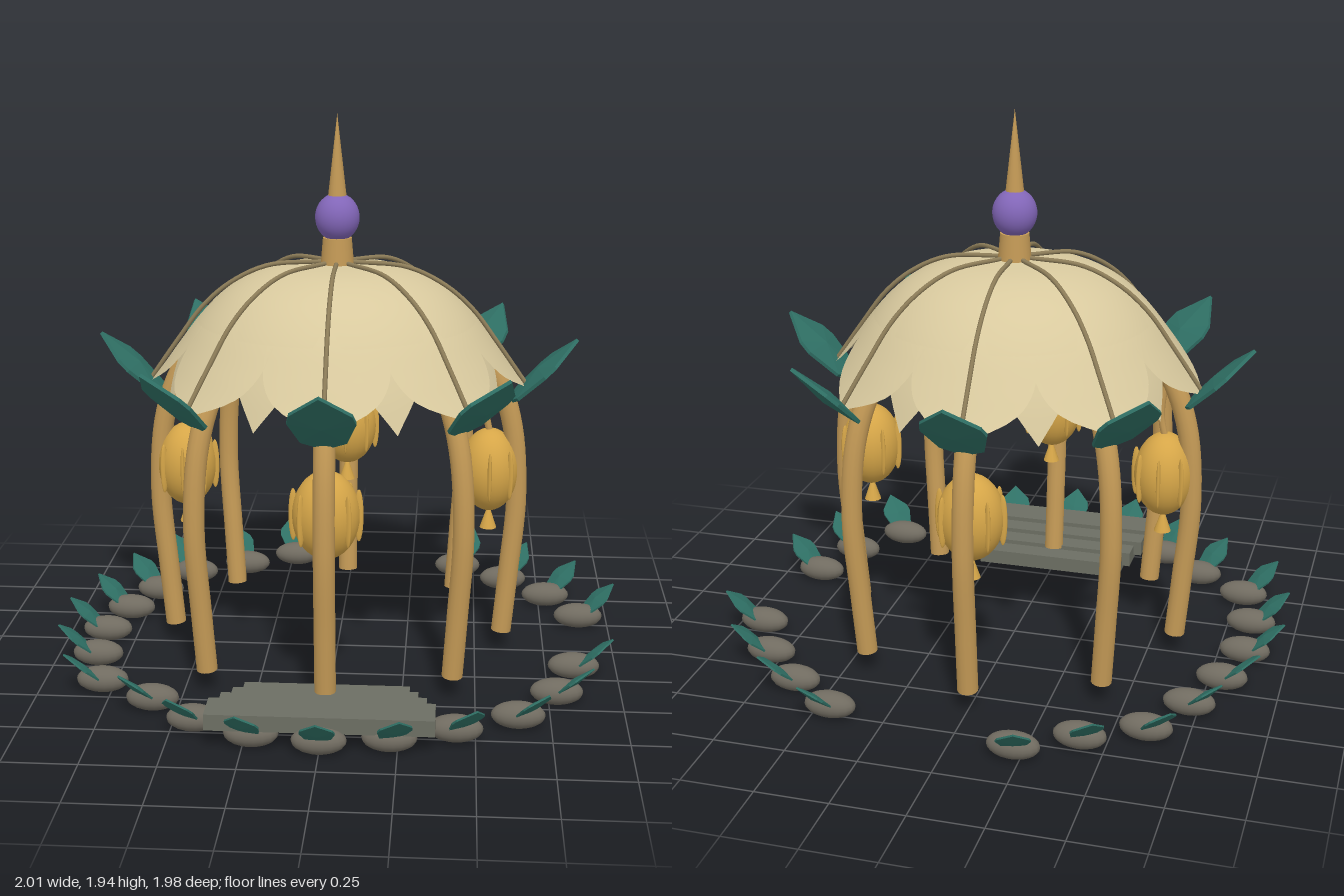
import * as THREE from 'three';
import { ParametricGeometry } from 'three/addons/geometries/ParametricGeometry.js';
import { ConvexGeometry } from 'three/addons/geometries/ConvexGeometry.js';

const V = (x, y, z) => new THREE.Vector3(x, y, z);
const paint = (name, color, extra = {}) =>
  Object.assign(new THREE.MeshStandardMaterial({ color, ...extra }), { name });

export function createModel() {
  const wood = paint('honey wood', 0xc49a56);
  const gold = paint('lantern gold', 0xd6a648);
  const cream = paint('canopy cream', 0xd8c99e, { side: THREE.DoubleSide });
  const vein = paint('canopy vein', 0x8c7c58);
  const teal = paint('leaf teal', 0x2f7065, { flatShading: true });
  const rock = paint('stone grey', 0x706b60);
  const slab = paint('step grey', 0x6c6e63);
  const purple = paint('orb purple', 0x8266b8);

  const model = new THREE.Group();
  model.name = 'gardenPavilion';

  const add = (parent, name, geometry, material, x = 0, y = 0, z = 0) => {
    const mesh = new THREE.Mesh(geometry, material);
    mesh.name = name;
    mesh.position.set(x, y, z);
    parent.add(mesh);
    return mesh;
  };
  // Repeats a part around the centre; its own +z points outward
  const ring = (name, count, start, build) => {
    for (let i = 0; i < count; i++) {
      const g = new THREE.Group();
      g.name = name;
      g.rotation.y = start + (i / count) * Math.PI * 2;
      build(g);
      model.add(g);
    }
  };
  const path = (pts) => new THREE.CatmullRomCurve3(pts.map(([r, y]) => V(0, y, r)));

  // Curved posts meeting under the hub
  const postGeo = new THREE.TubeGeometry(path([
    [0.595, 0.08], [0.615, 0.3], [0.638, 0.6], [0.615, 0.87],
    [0.55, 1.05], [0.42, 1.22], [0.24, 1.325], [0.03, 1.36],
  ]), 40, 0.036, 14);
  const capGeo = new THREE.CircleGeometry(0.036, 14).rotateX(Math.PI / 2);
  ring('post', 8, 0, (g) => {
    add(g, 'postShaft', postGeo, wood);
    add(g, 'postFoot', capGeo, wood, 0, 0.081, 0.595);
  });

  // Petals: each row is [half width, height, radius]
  const petal = (rows) => {
    const spine = new THREE.CatmullRomCurve3(rows.map((p) => V(...p)));
    const geo = new ParametricGeometry((u, v, out) => {
      const p = spine.getPoint(v);
      const a = ((u * 2 - 1) * Math.max(p.x, 0.001)) / p.z;
      out.set(Math.sin(a) * p.z, p.y, Math.cos(a) * p.z);
    }, 16, 24);
    geo.computeVertexNormals();
    return geo;
  };
  const lowerPetal = petal([
    [0.025, 1.415, 0.04], [0.13, 1.395, 0.24], [0.17, 1.335, 0.37],
    [0.2, 1.25, 0.47], [0.21, 1.14, 0.555], [0.17, 1.07, 0.605], [0, 0.99, 0.665],
  ]);
  const upperPetal = petal([
    [0.03, 1.425, 0.04], [0.14, 1.41, 0.2], [0.17, 1.375, 0.31],
    [0.165, 1.32, 0.4], [0.14, 1.22, 0.495], [0.09, 1.1, 0.56], [0, 0.97, 0.61],
  ]);
  ring('lowerPetal', 8, 0, (g) => add(g, 'petal', lowerPetal, cream));
  ring('upperPetal', 8, Math.PI / 8, (g) => add(g, 'petal', upperPetal, cream));

  // Raised veins on the canopy
  const veinGeo = new THREE.TubeGeometry(path([
    [0.05, 1.43], [0.24, 1.415], [0.37, 1.355], [0.47, 1.27], [0.56, 1.15], [0.665, 1.0],
  ]), 28, 0.008, 8);
  ring('canopyVein', 8, 0, (g) => add(g, 'vein', veinGeo, vein));

  // Faceted leaf, base at the origin and tip up
  const leafGeo = (s) => {
    const outline = [[0, 0], [0.075, 0.045], [0.11, 0.17], [0.1, 0.22], [0, 0.33]];
    const pts = [V(0, 0.16 * s, 0.022 * s), V(0, 0.16 * s, -0.022 * s)];
    for (const [x, y] of outline)
      for (const side of [-1, 1])
        for (const d of [-0.006, 0.006]) pts.push(V(x * s * side, y * s, d * s));
    return new ConvexGeometry(pts);
  };
  const bigLeaf = leafGeo(1);
  const smallLeaf = leafGeo(0.52);
  ring('canopyLeaf', 8, 0, (g) => {
    add(g, 'leaf', bigLeaf, teal, 0, 0.935, 0.6).rotation.x = 0.8;
  });

  // Hanging lanterns on the four main axes
  const bodyGeo = new THREE.SphereGeometry(1, 28, 20).scale(0.112, 0.15, 0.104);
  const ribGeo = new THREE.SphereGeometry(1, 10, 12).scale(0.008, 0.09, 0.016);
  const tailGeo = new THREE.CylinderGeometry(0.008, 0.03, 0.065, 12);
  const cordGeo = new THREE.TubeGeometry(path([
    [0.54, 0.82], [0.525, 0.9], [0.53, 0.98], [0.55, 1.06],
  ]), 14, 0.012, 8);
  ring('lantern', 4, 0, (g) => {
    add(g, 'lanternBody', bodyGeo, gold, 0, 0.69, 0.54);
    add(g, 'lanternTail', tailGeo, gold, 0, 0.505, 0.54);
    add(g, 'lanternCord', cordGeo, wood);
    for (let i = 0; i < 8; i++) {
      const a = (i * Math.PI) / 4;
      add(g, 'lanternRib', ribGeo, gold,
        Math.sin(a) * 0.108, 0.69, 0.54 + Math.cos(a) * 0.1).rotation.y = a;
    }
  });

  // Finial
  add(model, 'hub', new THREE.CylinderGeometry(0.05, 0.06, 0.12, 24), wood, 0, 1.455, 0);
  add(model, 'orb', new THREE.SphereGeometry(0.077, 28, 20).scale(1, 1.08, 1), purple, 0, 1.585, 0);
  add(model, 'spire', new THREE.ConeGeometry(0.034, 0.3, 16), wood, 0, 1.79, 0);

  // Stone border with sprouting leaves: one radius per 15 degrees, 0 leaves a gap
  const stoneGeo = new THREE.SphereGeometry(1, 18, 12).scale(0.09, 0.045, 0.05);
  const radii = [0, 0.875, 0.895, 0.905, 0.87, 0.865, 0.87, 0.86, 0.845, 0.825, 0.9, 0.87,
    0.85, 0.83, 0.835, 0.87, 0.835, 0.87, 0, 0, 0.87, 0.87, 0.895, 0.92];
  radii.forEach((r, i) => {
    if (!r) return;
    const a = (i * Math.PI) / 12;
    const x = Math.cos(a), z = Math.sin(a);
    add(model, 'borderStone', stoneGeo, rock, x * r, 0.046, z * r);
    const leaf = add(model, 'borderLeaf', smallLeaf, teal, x * (r + 0.01), 0.045, z * (r + 0.01));
    leaf.rotation.set(0.83, Math.PI / 2 - a, 0, 'YXZ');
  });

  // Stepped planks at the front
  for (let i = 0; i < 4; i++) {
    add(model, 'step', new THREE.BoxGeometry(0.74 - i * 0.06, 0.055, 0.13),
      slab, 0, 0.095 - i * 0.016, 0.805 - i * 0.078);
  }
  return model;
}
